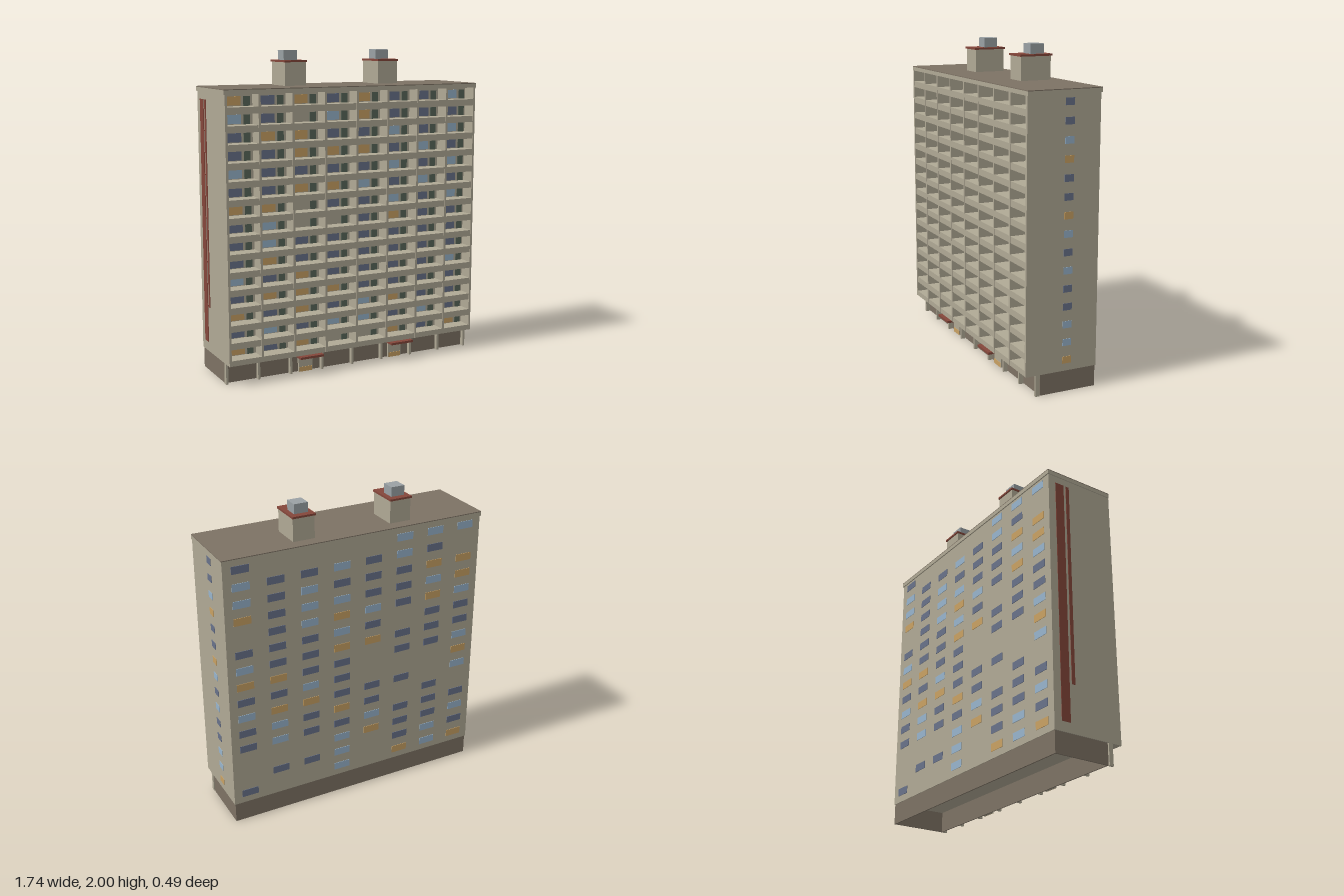
import * as THREE from 'three';

const mat = (name, color) => {
  const m = new THREE.MeshStandardMaterial({ color });
  m.name = name;
  return m;
};

export function createModel() {
  const group = new THREE.Group();
  const concrete = mat('concrete', 0xb0a995);
  const brown = mat('brown', 0x7d7264);
  const red = mat('brickRed', 0x84463a);
  const steel = mat('steelGrey', 0x9aa1a4);
  const green = mat('doorGreen', 0x586659);
  const glass = {
    O: mat('litGlass', 0xc9a163),
    D: mat('darkGlass', 0x68728a),
    L: mat('skyGlass', 0x98b4cc),
  };

  // Box given by its extents on each axis
  const box = (name, material, x0, x1, y0, y1, z0, z1, parent = group) => {
    const mesh = new THREE.Mesh(new THREE.BoxGeometry(x1 - x0, y1 - y0, z1 - z0), material);
    mesh.position.set((x0 + x1) / 2, (y0 + y1) / 2, (z0 + z1) / 2);
    mesh.name = name;
    parent.add(mesh);
    return mesh;
  };
  const sub = (name) => {
    const g = new THREE.Group();
    g.name = name;
    group.add(g);
    return g;
  };

  const W = 0.865, BAYS = 8, FLOORS = 15;
  const BASE = 0.13, TOP = 1.755;
  const BACK = -0.24, WALL = 0.13, FRONT = 0.226;
  const bayW = (2 * W) / BAYS, floorH = (TOP - BASE) / FLOORS;
  const bayX = (i) => -W + i * bayW;
  const floorY = (r) => TOP - (r + 1) * floorH; // row 0 is the top floor
  const T = 0.003; // thickness of painted plates

  // Main block and roof
  box('mainBlock', concrete, -W, W, BASE, TOP, BACK, WALL);
  box('roofSlab', concrete, -0.87, 0.87, TOP, 1.78, -0.247, FRONT);
  box('roofCovering', brown, -0.87, 0.87, 1.78, 1.785, -0.247, FRONT);

  // Ground floor: four walls, open underneath
  const ground = sub('groundFloor');
  const gx = 0.86, gb = -0.236, t = 0.008;
  box('groundFrontWall', brown, -gx, gx, 0, BASE, WALL - t, WALL, ground);
  box('groundBackWall', brown, -gx, gx, 0, BASE, gb, gb + t, ground);
  for (const s of [-1, 1]) {
    const c = s * (gx - t / 2);
    box('groundEndWall', brown, c - t / 2, c + t / 2, 0, BASE, gb + t, WALL - t, ground);
  }

  // Party walls with a column below each
  const frame = sub('balconyFrame');
  for (let i = 0; i <= BAYS; i++) {
    const x = THREE.MathUtils.clamp(bayX(i), -W + 0.007, W - 0.007);
    box('partyWall', concrete, x - 0.007, x + 0.007, BASE, TOP, WALL, FRONT, frame);
    box('column', concrete, x - 0.007, x + 0.007, 0, BASE, 0.134, 0.162, frame);
  }

  // Balconies: deep slabs across every bay
  const balconies = sub('balconies');
  for (let r = 0; r < FLOORS; r++) {
    const y = floorY(r);
    for (let i = 0; i < BAYS; i++) {
      const x = bayX(i);
      box('balcony', concrete, x + 0.007, x + bayW - 0.007,
        r === FLOORS - 1 ? y : y - 0.006, y + 0.034, WALL, FRONT - 0.002, balconies);
    }
  }

  // Front windows and balcony doors, one string per floor from the top
  const frontRows = [
    'ODODODDL', 'LD-LODDD', 'DOODDLDL', 'DDOOODLD', 'LDDDDLDL',
    'DDOOLDLD', 'OO-DDLDL', 'DL--DODD', 'DLDDDDDD', 'DODDDDDD',
    'LDODDDDL', 'DOOODDDD', 'ODODLODD', 'DLDLLDLD', 'ODO--ODO',
  ];
  const front = sub('frontWindows');
  frontRows.forEach((row, r) => {
    const y = floorY(r);
    [...row].forEach((c, i) => {
      const x = bayX(i);
      if (glass[c]) box('frontWindow', glass[c], x + 0.024, x + 0.135, y + 0.038, y + 0.092, WALL, WALL + T, front);
      box('balconyDoor', green, x + 0.151, x + 0.193, y + 0.034, y + 0.092, WALL, WALL + T, front);
    });
  });

  // Back windows, one string per column from +x to -x
  const backColumns = [
    'DLLO-DLODLDD--D', '-DDDDDDODOLL-D-', '-DLLLDDDLODD-D-', '-LDLOLODDDODLLL',
    '-DDDLDO--DDLO--', 'LLDDD-DD-D-DDDO', 'LDOLODDD--DDDLL', 'L-OOLDDLOL-DLDO',
  ];
  const back = sub('backWindows');
  backColumns.forEach((col, i) => {
    const x = bayX(BAYS - 1 - i) + bayW / 2;
    [...col].forEach((c, r) => {
      const y = floorY(r) + 0.067;
      if (glass[c]) box('backWindow', glass[c], x - 0.055, x + 0.055, y - 0.024, y + 0.024, BACK - T, BACK, back);
    });
  });

  // Stair windows on the left end
  const side = sub('endWindows');
  [...'DDLODDOLDLDDLLO'].forEach((c, r) => {
    const y = floorY(r) + 0.067;
    box('endWindow', glass[c], W, W + T, y - 0.021, y + 0.021, -0.07, -0.012, side);
  });

  // Red stripes on the right end
  box('wideStripe', red, -W - T, -W, 0.19, 1.71, -0.19, -0.13);
  box('narrowStripe', red, -W - T, -W, 0.42, 1.71, -0.113, -0.09);

  // Entrances and rooftop housings, one pair per half
  for (const x of [-0.325, 0.322]) {
    box('entranceCanopy', red, x - 0.08, x + 0.08, 0.112, 0.126, WALL, 0.247);
    box('entrancePorch', concrete, x - 0.048, x + 0.048, 0, 0.112, WALL, 0.145);
    box('entranceDoor', glass.O, x - 0.044, x + 0.044, 0, 0.03, 0.145, 0.148);

    box('liftHousing', concrete, x - 0.07, x + 0.07, 1.785, 1.928, -0.172, 0.026);
    box('housingCap', red, x - 0.075, x + 0.075, 1.928, 1.94, -0.18, 0.033);
    box('ventBox', steel, x - 0.045, x + 0.045, 1.94, 2, -0.138, -0.048);
  }
  return group;
}
